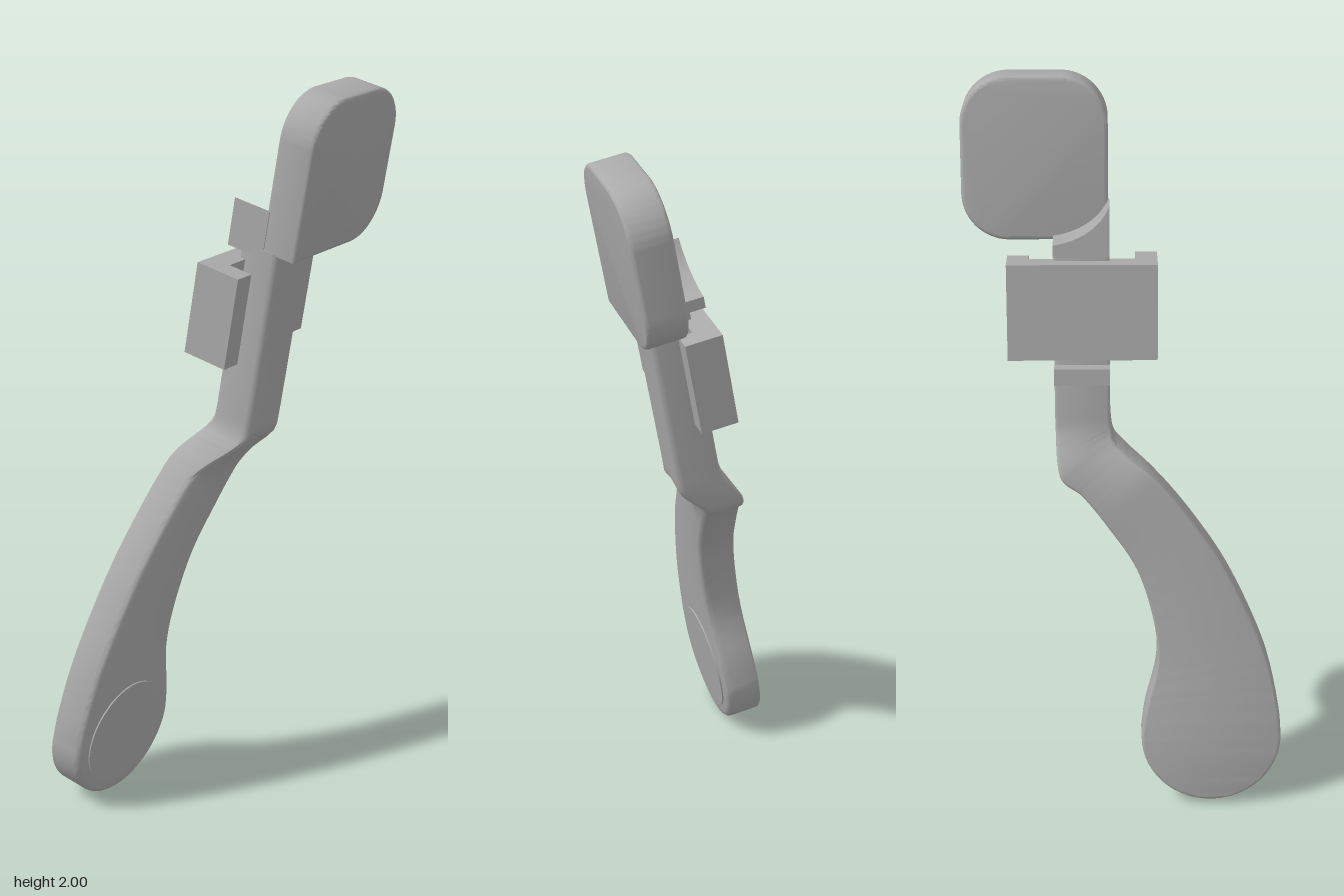
import * as THREE from 'three';
import { toCreasedNormals } from 'three/addons/utils/BufferGeometryUtils.js';

const gray = new THREE.MeshStandardMaterial({ color: 0xaaaaaa });
gray.name = 'plain gray';

const V = (x, y) => new THREE.Vector2(x, y);
const mix = (a, b, v, lo, hi) => a + (b - a) * THREE.MathUtils.smoothstep(v, lo, hi);

function part(name, geometry, parent) {
  const mesh = new THREE.Mesh(geometry, gray);
  mesh.name = name;
  parent.add(mesh);
  return mesh;
}

// One long edge of the lever: quarter of the round end, curved arm, straight stem
function edge(side, pts) {
  const out = [];
  for (let i = 0; i < 14; i++) {
    const a = (i / 14) * Math.PI / 2;
    out.push(V(-0.237 + side * 0.195 * Math.sin(a), -0.825 - 0.195 * Math.cos(a)));
  }
  out.push(...new THREE.SplineCurve(pts.map(p => V(...p))).getPoints(72));
  out.push(V(pts[pts.length - 1][0], 0.585));
  return out;
}

// Lever body lofted between its two edges, stepping forward at the bend
function leverGeometry() {
  const left = edge(-1, [[-0.432, -0.825], [-0.421, -0.72], [-0.377, -0.55], [-0.282, -0.337], [-0.185, -0.185],
    [-0.087, -0.063], [0, 0.008], [0.034, 0.045], [0.042, 0.11]]);
  const right = edge(1, [[-0.042, -0.825], [-0.053, -0.743], [-0.084, -0.6], [-0.075, -0.47], [-0.029, -0.317],
    [0.048, -0.195], [0.117, -0.104], [0.178, -0.045], [0.19, 0.11]]);
  const inward = (line, i, s) => {
    if (i === 0) return V(0, 1);
    const t = line[Math.min(i + 1, line.length - 1)].clone().sub(line[i - 1]).normalize();
    return V(s * t.y, -s * t.x);
  };
  // Rounded corner steps: inset from the edge, drop from the face
  const steps = (r) => [0, 1, 2, 3].map(k => [r * (1 - Math.cos(k * Math.PI / 6)), r * (1 - Math.sin(k * Math.PI / 6))]);
  const front = steps(0.018), back = steps(0.008);
  const pos = [], idx = [], n = 16;
  left.forEach((l, i) => {
    const nl = inward(left, i, 1), nr = inward(right, i, -1);
    const add = (p, nrm, [inset, drop], isFront) => {
      const q = p.clone().addScaledVector(nrm, inset);
      const w = isFront ? mix(-0.022, 0.047, q.y, -0.075, 0.05) - drop : mix(-0.126, -0.073, q.y, -0.05, 0.08) + drop;
      pos.push(q.x, q.y, w);
    };
    front.forEach(s => add(l, nl, s, true));
    [...front].reverse().forEach(s => add(right[i], nr, s, true));
    back.forEach(s => add(right[i], nr, s, false));
    [...back].reverse().forEach(s => add(l, nl, s, false));
  });
  const rows = left.length;
  for (let i = 0; i < rows - 1; i++) {
    for (let j = 0; j < n; j++) {
      const a = i * n + j, b = i * n + (j + 1) % n;
      idx.push(a, b, b + n, a, b + n, a + n);
    }
  }
  const top = (rows - 1) * n;
  for (let j = 1; j < n - 1; j++) idx.push(top, top + j, top + j + 1);
  const g = new THREE.BufferGeometry();
  g.setAttribute('position', new THREE.Float32BufferAttribute(pos, 3));
  g.setIndex(idx);
  return toCreasedNormals(g, 0.65);
}

// Head pad: three rounded corners and one square corner over the stem
function headGeometry() {
  const b = 0.01, x0 = 0.045 + b, x1 = 0.43 - b, y0 = 0.58 + b, y1 = 1.013 - b, r = 0.115;
  const s = new THREE.Shape();
  s.moveTo(x0, y0);
  s.lineTo(x1 - r, y0);
  s.absarc(x1 - r, y0 + r, r, -Math.PI / 2, 0);
  s.absarc(x1 - r, y1 - r, r, 0, Math.PI / 2);
  s.absarc(x0 + r, y1 - r, r, Math.PI / 2, Math.PI);
  s.closePath();
  const g = new THREE.ExtrudeGeometry(s, { depth: 0.11 - 2 * b, bevelSize: b, bevelThickness: b, bevelSegments: 3, curveSegments: 14 });
  g.translate(0, 0, -0.01 + b);
  return toCreasedNormals(g, 0.65);
}

export function createModel() {
  const model = new THREE.Group();
  model.name = 'lever';
  const body = new THREE.Group();
  body.name = 'leverAssembly';
  body.position.y = 1;
  body.rotation.set(Math.PI / 18, Math.PI / 18, 0, 'YXZ');
  model.add(body);

  part('leverArm', leverGeometry(), body);
  part('headPad', headGeometry(), body);

  // Round thumb disc on the wide end
  const disc = part('thumbDisc', new THREE.CylinderGeometry(0.155, 0.155, 0.008, 64), body);
  disc.rotation.x = Math.PI / 2;
  disc.position.set(-0.237, -0.825, -0.022);

  // Fin with a concave top behind the head
  const fin = new THREE.Shape();
  fin.moveTo(0.042, 0.56);
  fin.lineTo(0.19, 0.56);
  fin.lineTo(0.19, 0.592);
  fin.quadraticCurveTo(0.08, 0.61, 0.042, 0.695);
  fin.closePath();
  const finGeo = new THREE.ExtrudeGeometry(fin, { depth: 0.114, bevelEnabled: false, curveSegments: 12 });
  finGeo.translate(0, 0, -0.114);
  part('backFin', toCreasedNormals(finGeo, 0.5), body);

  // Small catch under the bracket
  const catchBlock = part('catchBlock', new THREE.BoxGeometry(0.148, 0.045, 0.06), body);
  catchBlock.position.set(0.116, 0.232, -0.083);

  // U-shaped bracket clipped around the stem, left leg longer
  const u = new THREE.Shape([[-0.084, -0.114], [0.312, -0.114], [0.312, -0.014], [0.255, -0.014],
    [0.255, -0.052], [-0.026, -0.052], [-0.026, 0.02], [-0.084, 0.02]].map(([x, w]) => V(x, -w)));
  const bracket = new THREE.ExtrudeGeometry(u, { depth: 0.26, bevelEnabled: false });
  bracket.rotateX(-Math.PI / 2);
  bracket.translate(0, 0.28, 0);
  part('bracket', bracket, body);

  return model;
}
